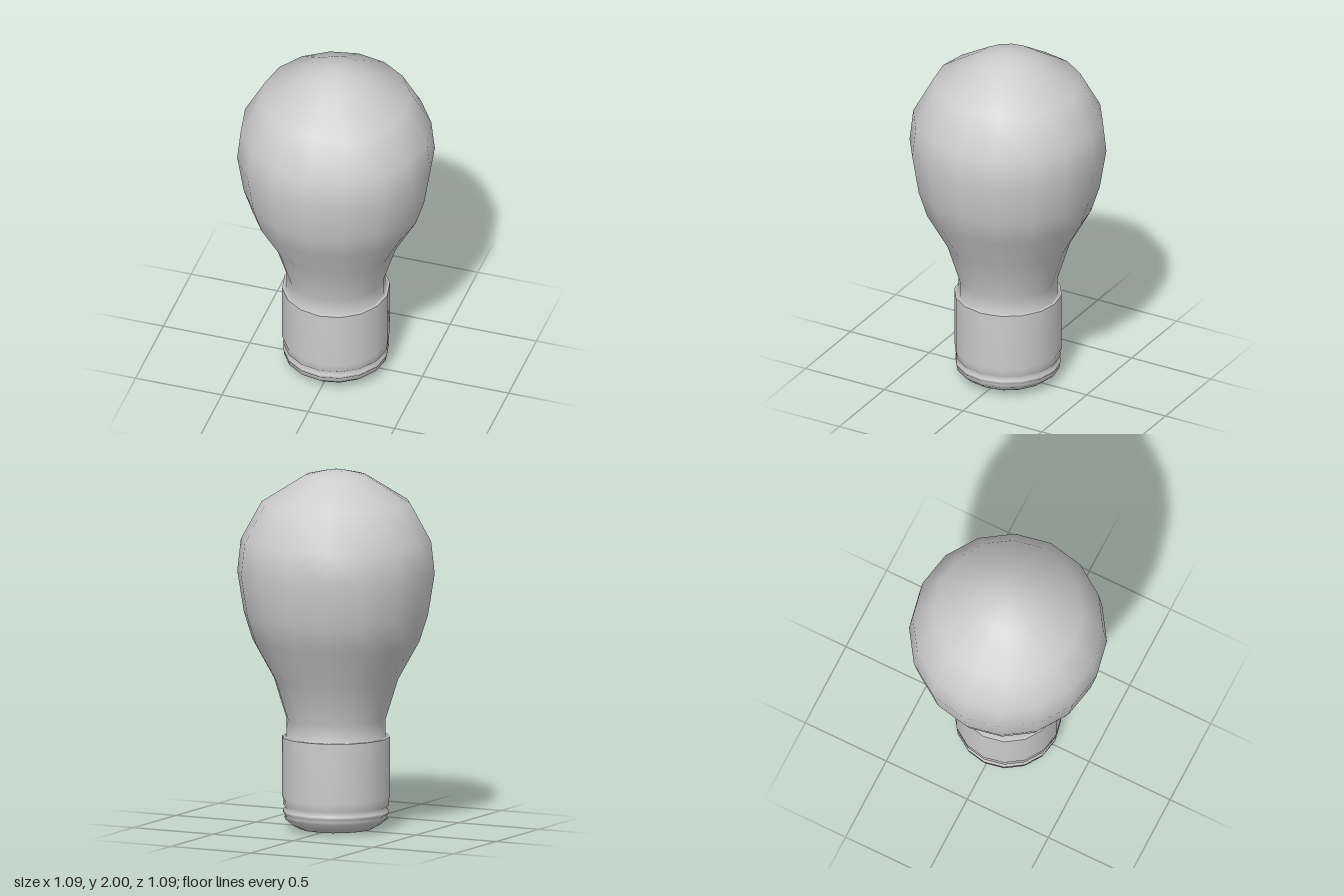
import * as THREE from 'three';

const SIDES = 16;

// Turns a profile of [radius, height] points, listed bottom to top
function turned(name, profile) {
  const points = profile.map(([r, y]) => new THREE.Vector2(r, y));
  const material = new THREE.MeshStandardMaterial({ color: 0xcccccc });
  const mesh = new THREE.Mesh(new THREE.LatheGeometry(points, SIDES), material);
  mesh.name = name;
  return mesh;
}

export function createModel() {
  const group = new THREE.Group();
  group.name = 'lightBulb';

  // Base cap: rounded foot, two shallow thread grooves, straight collar
  group.add(turned('baseCap', [
    [0, 0], [0.205, 0.005], [0.25, 0.03], [0.288, 0.062],
    [0.278, 0.075], [0.293, 0.09], [0.293, 0.105], [0.28, 0.12],
    [0.293, 0.135], [0.29, 0.16], [0.298, 0.18], [0.298, 0.515],
  ]));

  // Glass envelope: shoulder on the cap, neck, and pear-shaped bulb
  group.add(turned('glassBulb', [
    [0.298, 0.515], [0.275, 0.515], [0.275, 0.615], [0.345, 0.84],
    [0.462, 1.05], [0.51, 1.2], [0.547, 1.43], [0.527, 1.61],
    [0.412, 1.82], [0.17, 1.972], [0.05, 2], [0, 2],
  ]));

  return group;
}
